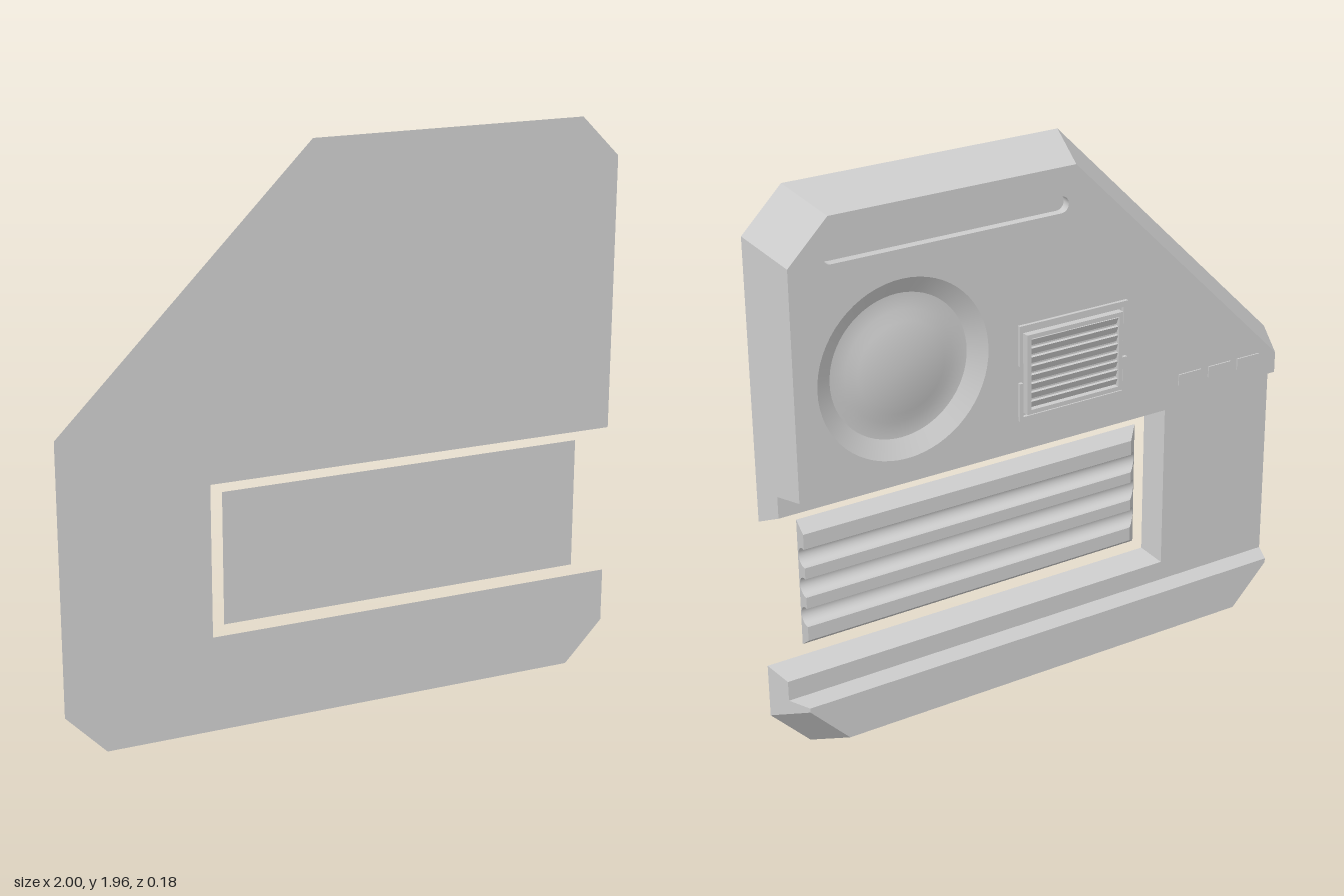
import * as THREE from 'three';
import { toCreasedNormals } from 'three/addons/utils/BufferGeometryUtils.js';

const FRONT = 0.09, STEP = 0.015, BACK = -0.065;
const material = new THREE.MeshStandardMaterial({ color: 0xcccccc });

const mix = (a, b, t) => a.map((p, i) => [p[0] + (b[i][0] - p[0]) * t, p[1] + (b[i][1] - p[1]) * t]);
const rect = (x0, x1, y0, y1) => [[x0, y0], [x1, y0], [x1, y1], [x0, y1]];
const vectors = (pts) => pts.map(([x, y]) => new THREE.Vector2(x, y));

function build(tris) {
  const geo = new THREE.BufferGeometry();
  geo.setAttribute('position', new THREE.Float32BufferAttribute(tris.flat(), 3));
  return toCreasedNormals(geo, 0.5);
}

// Walls between two matching outlines
function walls(tris, front, zF, back, zB) {
  front.forEach((p, i) => {
    const j = (i + 1) % front.length;
    const a = [...p, zF], b = [...front[j], zF], c = [...back[j], zB], d = [...back[i], zB];
    tris.push(a, d, b, b, d, c);
  });
}

// Solid between a front and a back outline (counter-clockwise), with openings in the back or both caps
function slab(front, zF, back, zB, backHoles = [], through = []) {
  const tris = [];
  walls(tris, front, zF, back, zB);
  through.forEach((h) => walls(tris, h, zF, h, zB));
  const cap = (outline, holes, z, flip) => {
    const all = [outline, ...holes].flat();
    for (const f of THREE.ShapeUtils.triangulateShape(vectors(outline), holes.map(vectors))) {
      const t = f.map((i) => [...all[i], z]);
      tris.push(...(flip ? t.reverse() : t));
    }
  };
  cap(front, through, zF, false);
  cap(back, [...backHoles, ...through], zB, true);
  return build(tris);
}

// Recess open to the back: clockwise rings from rim to floor, closed by a fan
function pocket(rings, centre) {
  const tris = [];
  for (let i = 1; i < rings.length; i++) walls(tris, rings[i].pts, rings[i].z, rings[i - 1].pts, rings[i - 1].z);
  const { pts, z } = rings[rings.length - 1];
  pts.forEach((p, i) => tris.push([...centre, z], [...p, z], [...pts[(i + 1) % pts.length], z]));
  return build(tris);
}

// Clockwise stadium; equal ends make a circle
function stadium(x0, x1, y, r, n) {
  const pts = [];
  for (const [cx, start] of [[x1, Math.PI / 2], [x0, -Math.PI / 2]]) {
    for (let i = 0; i < n; i++) {
      const a = start - (Math.PI * i) / (x0 === x1 ? n : n - 1);
      pts.push([cx + r * Math.cos(a), y + r * Math.sin(a)]);
    }
  }
  return pts;
}

export function createModel() {
  const group = new THREE.Group();
  const add = (name, geo) => {
    const mesh = new THREE.Mesh(geo, material);
    mesh.name = name;
    group.add(mesh);
    return mesh;
  };
  const box = (name, x0, x1, y0, y1, z0, z1) => {
    const mesh = add(name, new THREE.BoxGeometry(x1 - x0, y1 - y0, z1 - z0));
    mesh.position.set((x0 + x1) / 2, (y0 + y1) / 2, (z0 + z1) / 2);
    return mesh;
  };
  const t = (FRONT - STEP) / (FRONT - BACK);

  // Front plate with a side-opening slot, tapering backwards
  const plateF = [[-0.86, 0], [0.86, 0], [1, 0.145], [1, 0.335], [-0.485, 0.335], [-0.485, 0.865],
    [1, 0.865], [1, 1.82], [0.86, 1.96], [-0.12, 1.96], [-1, 1.08], [-1, 0.145]];
  const plateB = [[-0.79, 0.07], [0.79, 0.07], [0.93, 0.215], [0.93, 0.265], [-0.555, 0.265], [-0.555, 0.935],
    [0.93, 0.935], [0.93, 1.75], [0.79, 1.89], [-0.09, 1.89], [-0.93, 1.05], [-0.93, 0.215]];
  add('frontPlate', slab(plateF, FRONT, mix(plateF, plateB, t), STEP));

  // Lower thick block
  const lowF = [[-0.86, 0], [0.86, 0], [1, 0.145], [1, 0.23], [-1, 0.23], [-1, 0.145]];
  const lowB = [[-0.79, 0.07], [0.79, 0.07], [0.93, 0.215], [0.93, 0.23], [-0.93, 0.23], [-0.93, 0.215]];
  add('lowerBlock', slab(mix(lowF, lowB, t), STEP, lowB, BACK));

  // Upper thick block with a dial recess and a long groove
  const upF = [[-1, 0.975], [1, 0.975], [1, 1.82], [0.86, 1.96], [-0.12, 1.96], [-1, 1.08]];
  const upB = [[-0.93, 0.975], [0.93, 0.975], [0.93, 1.75], [0.79, 1.89], [-0.09, 1.89], [-0.93, 1.05]];
  const dial = [[0.305, BACK], [0.245, -0.03], [0.19, -0.03], [0.155, -0.045]]
    .map(([r, z]) => ({ pts: stadium(0.545, 0.545, 1.335, r, 32), z }));
  const groove = [BACK, -0.035].map((z) => ({ pts: stadium(-0.035, 0.785, 1.765, 0.028, 9), z }));
  add('upperBlock', slab(mix(upF, upB, t), STEP, upB, BACK, [dial[0].pts, groove[0].pts]));
  add('dialRecess', pocket(dial, [0.545, 1.335]));
  add('longGroove', pocket(groove, [0.375, 1.765]));

  // Ribbed insert: profile with three U-grooves, run along x
  const profile = [[-FRONT, 0.375], [-0.045, 0.41]];
  for (const y of [0.495, 0.604, 0.712]) {
    profile.push([-0.045, y - 0.034]);
    for (let i = 0; i <= 12; i++) {
      const a = -Math.PI / 2 + (Math.PI * i) / 12;
      profile.push([-0.052 - 0.034 * Math.cos(a), y + 0.034 * Math.sin(a)]);
    }
    profile.push([-0.045, y + 0.034]);
  }
  profile.push([-0.045, 0.8], [-FRONT, 0.835]);
  const insert = slab(profile, 0.87, profile, -0.445).rotateY(Math.PI / 2);
  const pos = insert.attributes.position;
  for (let i = 0; i < pos.count; i++) {
    if (pos.getX(i) < 0) pos.setX(i, pos.getX(i) + FRONT - pos.getZ(i)); // bevelled end
  }
  add('ribbedInsert', toCreasedNormals(insert, 0.5));

  // Vent: frame, slanted slats and thin brackets around it
  const frame = rect(-0.262, 0.11, 1.08, 1.36);
  const opening = rect(-0.247, 0.095, 1.095, 1.345).reverse();
  add('ventFrame', slab(frame, BACK, frame, -0.09, [], [opening]));
  for (let i = 0; i < 8; i++) {
    const y = 1.111 + i * 0.0312;
    const slat = box('ventSlat', -0.247, 0.095, y - 0.013, y + 0.013, -0.08, -0.072);
    slat.rotation.x = -0.4;
  }
  box('ventBracketTop', -0.29, 0.13, 1.37, 1.39, -0.077, BACK);
  box('ventBracketBottom', -0.29, 0.13, 1.055, 1.07, -0.077, BACK);
  for (const [x0, x1] of [[-0.29, -0.272], [0.118, 0.13]]) {
    box('ventBracketSide', x0, x1, 1.07, 1.19, -0.077, BACK);
    box('ventBracketSide', x0, x1, 1.25, 1.37, -0.077, BACK);
  }

  // Three small tabs near the low corner
  for (const x of [-0.808, -0.685, -0.56]) box('smallTab', x - 0.047, x + 0.047, 1.025, 1.065, -0.07, BACK);

  return group;
}
